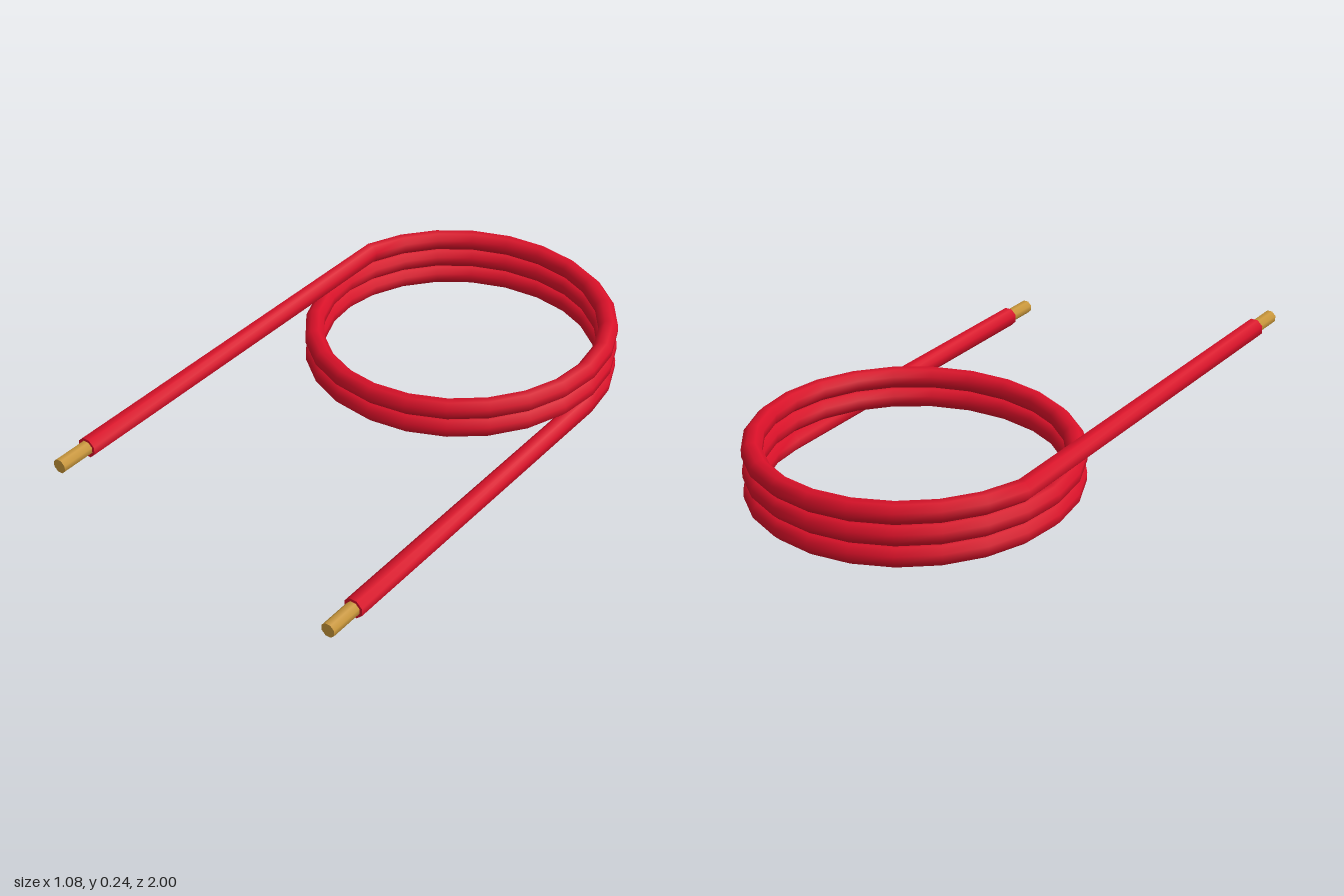
import * as THREE from 'three';

const RADIUS = 0.51, CENTER_Z = -0.458, WIRE = 0.035, SIDES = 8;
const STEPS = 59, STEP = Math.PI / 12, RISE = 0.071 / 24, BASE_Y = 0.0323;

// Sweeps an octagonal section along a polyline, keeping it upright
function sweep(points, radius) {
  const positions = [], indices = [], up = new THREE.Vector3(0, 1, 0);
  points.forEach((p, i) => {
    const t = new THREE.Vector3();
    if (i > 0) t.add(p.clone().sub(points[i - 1]).normalize());
    if (i < points.length - 1) t.add(points[i + 1].clone().sub(p).normalize());
    t.normalize();
    const side = up.clone().cross(t).normalize();
    const top = t.clone().cross(side);
    for (let j = 0; j < SIDES; j++) {
      const a = ((j + 0.5) / SIDES) * Math.PI * 2;
      const v = p.clone()
        .addScaledVector(side, radius * Math.cos(a))
        .addScaledVector(top, radius * Math.sin(a));
      positions.push(v.x, v.y, v.z);
      if (i < points.length - 1) {
        const k = (j + 1) % SIDES, r = i * SIDES, s = r + SIDES;
        indices.push(r + j, r + k, s + j, r + k, s + k, s + j);
      }
    }
  });
  const geometry = new THREE.BufferGeometry();
  geometry.setAttribute('position', new THREE.Float32BufferAttribute(positions, 3));
  geometry.setIndex(indices);
  geometry.computeVertexNormals();
  return geometry;
}

export function createModel() {
  const group = new THREE.Group();
  group.name = 'coiledWire';
  const red = new THREE.MeshStandardMaterial({ color: 0xd81028 });
  const brass = new THREE.MeshStandardMaterial({ color: 0xc8963a });

  const add = (name, geometry, material, position) => {
    const mesh = new THREE.Mesh(geometry, material);
    mesh.name = name;
    if (position) mesh.position.copy(position);
    group.add(mesh);
  };

  // Rising coil of nearly two and a half turns
  const path = [];
  for (let i = 0; i <= STEPS; i++) {
    const a = i * STEP;
    path.push(new THREE.Vector3(
      RADIUS * Math.cos(a), BASE_Y + i * RISE, CENTER_Z - RADIUS * Math.sin(a)));
  }

  // Straight leads running forward from both ends of the coil
  const lowerEnd = path[0].clone().setZ(0.82);
  const upperEnd = path[STEPS].clone().setZ(0.88);
  add('insulation', sweep([lowerEnd, ...path, upperEnd], WIRE), red);

  // Closed insulation ends with bare metal tips
  for (const [side, end] of [['left', lowerEnd], ['right', upperEnd]]) {
    add(side + 'InsulationEnd',
      new THREE.CircleGeometry(WIRE, SIDES, Math.PI / SIDES), red, end);
    const tip = new THREE.CylinderGeometry(0.025, 0.025, 0.12, SIDES, 1, false, Math.PI / SIDES);
    tip.rotateX(Math.PI / 2);
    add(side + 'BareTip', tip, brass, end.clone().setZ(end.z + 0.06));
  }
  return group;
}
